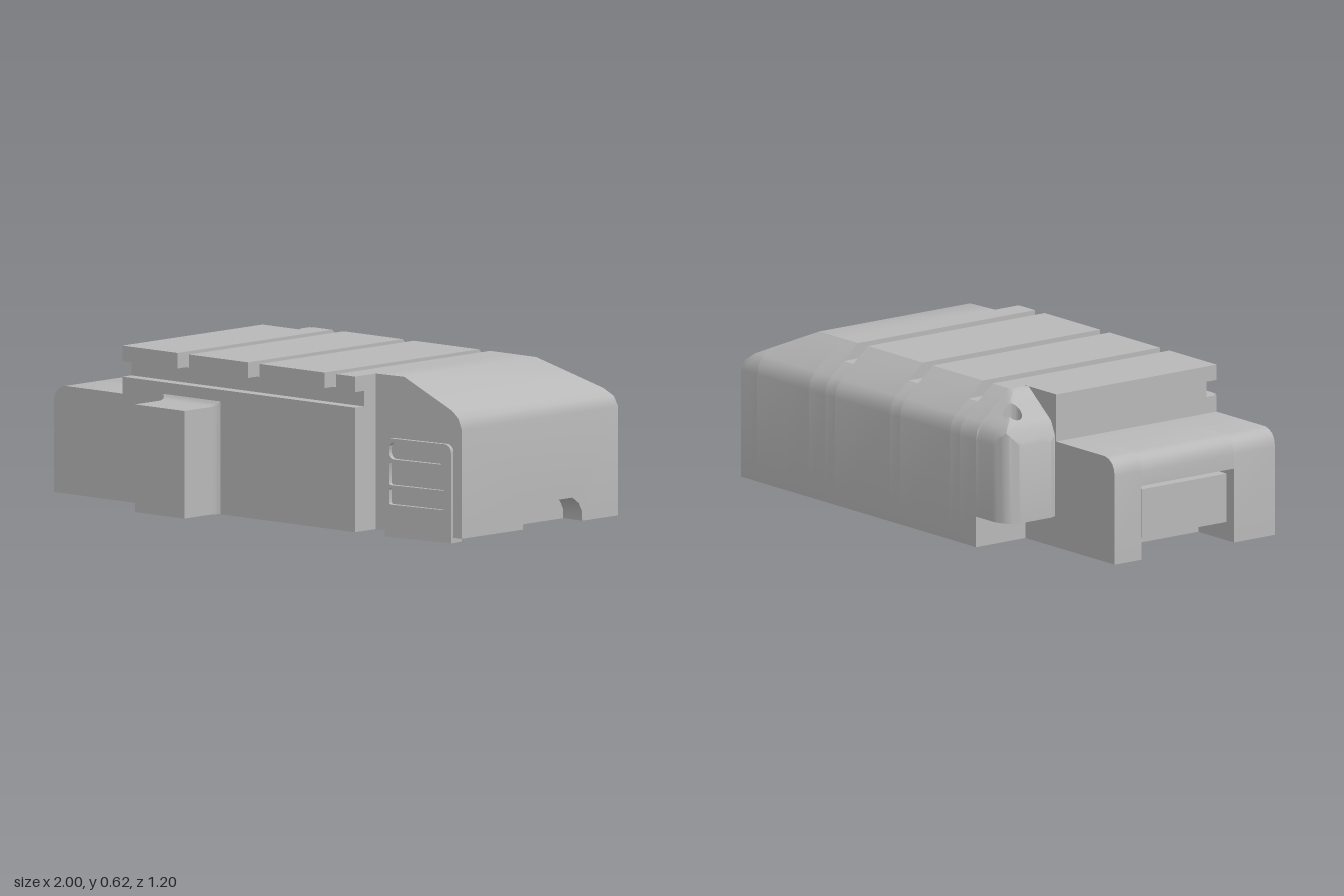
import * as THREE from 'three';
import { toCreasedNormals } from 'three/addons/utils/BufferGeometryUtils.js';

const grey = new THREE.MeshStandardMaterial({ color: 0xb8b8b8 });
grey.name = 'plain grey';

const BASE = 0.02, TOP = 0.62;
// Sloped shoulder at the back: [z, y], and the same shoulder at the end: [x, y]
const SHOULDER = [[-0.44, 0.62], [-0.57, 0.51], [-0.592, 0.48], [-0.6, 0.44]];
const END = [[0.72, 0.62], [0.95, 0.51], [0.985, 0.48], [1, 0.44]];

// Linear interpolation along a list of [key, value] pairs, by column
function lookup(list, v, from, to) {
  for (let i = 0; i < list.length - 1; i++) {
    const a = list[i], b = list[i + 1];
    if ((v - a[from]) * (v - b[from]) <= 0) {
      return a[to] + (b[to] - a[to]) * (v - a[from]) / (b[from] - a[from]);
    }
  }
  return Math.abs(v - list[0][from]) < Math.abs(v - list.at(-1)[from]) ? list[0][to] : list.at(-1)[to];
}

function mesh(name, geometry, x = 0, y = 0, z = 0) {
  const m = new THREE.Mesh(geometry, grey);
  m.name = name;
  m.position.set(x, y, z);
  return m;
}

const box = (name, w, h, d, x, y, z) => mesh(name, new THREE.BoxGeometry(w, h, d), x, y, z);

function toGeometry(tris, crease = 0.55) {
  const g = new THREE.BufferGeometry();
  g.setAttribute('position', new THREE.Float32BufferAttribute(tris, 3));
  g.computeVertexNormals();
  return toCreasedNormals(g, crease);
}

// Joins successive closed rings of points
function skin(rings) {
  const out = [];
  for (let k = 0; k < rings.length - 1; k++) {
    const A = rings[k], B = rings[k + 1];
    A.forEach((a, i) => {
      const j = (i + 1) % A.length;
      out.push(...a, ...B[i], ...B[j], ...a, ...B[j], ...A[j]);
    });
  }
  return out;
}

// Solid from [z, y] sections at stations along x, with both ends closed
function loft(stations) {
  const tris = skin(stations.map(({ x, ring }) => ring.map(([z, y]) => [x, y, z])));
  [[stations[0], -1], [stations.at(-1), 1]].forEach(([{ x, ring }, side]) => {
    const faces = THREE.ShapeUtils.triangulateShape(ring.map(([z, y]) => new THREE.Vector2(z, y)), []);
    for (const f of faces) {
      const [a, b, c] = f.map((i) => ring[i]);
      const nx = (b[1] - a[1]) * (c[0] - a[0]) - (b[0] - a[0]) * (c[1] - a[1]);
      for (const p of nx * side > 0 ? [a, b, c] : [a, c, b]) tris.push(x, p[1], p[0]);
    }
  });
  return toGeometry(tris);
}

// Back half of a section, cut off at the given height
function backEdge(top) {
  return [...SHOULDER.map(([z, y]) => (y > top ? [lookup(SHOULDER, top, 1, 0), top] : [z, y])), [-0.6, BASE]];
}

// Front half of a section, with the long ledge under the roof slabs
function frontEdge(top) {
  const edge = [[0.42, BASE], [0.42, 0.5], [0.37, 0.5], [0.37, 0.56]];
  return top > 0.56 ? [...edge, [0.42, 0.56], [0.42, top]] : edge;
}

function roundedRect(shape, x0, y0, x1, y1, r, rb = r) {
  shape.moveTo(x0 + rb, y0);
  shape.lineTo(x1 - rb, y0);
  if (rb) shape.absarc(x1 - rb, y0 + rb, rb, -Math.PI / 2, 0);
  shape.lineTo(x1, y1 - r);
  shape.absarc(x1 - r, y1 - r, r, 0, Math.PI / 2);
  shape.lineTo(x0 + r, y1);
  shape.absarc(x0 + r, y1 - r, r, Math.PI / 2, Math.PI);
  shape.lineTo(x0, y0 + rb);
  if (rb) shape.absarc(x0 + rb, y0 + rb, rb, Math.PI, Math.PI * 1.5);
  return shape;
}

// Main hull: raised slabs divided by three cross grooves
function mainHull() {
  const g = new THREE.Group();
  g.name = 'mainHull';
  const cuts = [-0.45, -0.35, -0.29, 0.02, 0.08, 0.42, 0.48, 0.58];
  for (let i = 0; i < cuts.length - 1; i++) {
    const top = i % 2 ? 0.56 : TOP;
    const ring = [...frontEdge(top), ...backEdge(top)];
    g.add(mesh(i % 2 ? 'roofGroove' : 'roofSlab', loft([{ x: cuts[i], ring }, { x: cuts[i + 1], ring }])));
  }
  const ring = [...frontEdge(TOP), [-0.36, TOP], [-0.36, BASE]];
  g.add(mesh('innerEndSlab', loft([{ x: -0.64, ring }, { x: -0.45, ring }])));
  return g;
}

// Sloping end with an arched cut-out at its foot
function slopedEnd() {
  const g = new THREE.Group();
  g.name = 'slopedEnd';
  const arch = [[-0.4, BASE], [-0.397, 0.06], [-0.38, 0.09], [-0.345, 0.115],
    [-0.125, 0.115], [-0.09, 0.09], [-0.073, 0.06], [-0.07, BASE]];
  const station = (x, extra) => {
    const top = lookup(END, x, 0, 1);
    const zf = 0.305 - 0.035 * (x - 0.58) / 0.42;
    return { x, ring: [[zf, BASE], [zf, top], ...backEdge(top), ...extra] };
  };
  g.add(mesh('endHull', loft([0.58, 0.72, 0.9].map((x) => station(x, [])))));
  g.add(mesh('archedEnd', loft([0.9, 0.95, 0.985, 1].map((x) => station(x, arch)))));
  return g;
}

// Rounded, sloping back corner, raised underneath and pierced by a hole
function piercedCorner() {
  const cx = -0.55, cz = -0.5, n = 48, low = 0.14;
  const planes = [[1, 0, -0.45], [-1, 0, 0.64], [0, 1, -0.36], [0, -1, 0.6],
    [-0.92, -0.39, 0.795], [-0.6, -0.8, 0.832], [-0.3, -0.954, 0.742]];
  const height = (x, z) => Math.min(
    lookup(SHOULDER, z, 0, 1), lookup([[-0.47, 0.62], [-0.61, 0.51], [-0.64, 0.44]], x, 0, 1));
  const ring = (t, y) => Array.from({ length: n }, (_, i) => {
    const a = (i / n) * Math.PI * 2, c = Math.cos(a), s = Math.sin(a);
    let far = 1;
    for (const [px, pz, d] of planes) {
      const dot = px * c + pz * s;
      if (dot > 1e-6) far = Math.min(far, (d - px * cx - pz * cz) / dot);
    }
    const r = 0.035 + t * (far - 0.035), x = cx + r * c, z = cz + r * s;
    return [x, y ?? height(x, z), z];
  });
  return mesh('piercedCorner', toGeometry(
    skin([ring(1, low), ring(1), ring(0.85), ring(0.6), ring(0.3), ring(0), ring(0, low), ring(1, low)])));
}

// Low end block with a rounded shoulder and a recessed hatch
function lowBlock() {
  const g = new THREE.Group();
  g.name = 'lowBlock';
  const upper = [[-0.64, 0.435], [-0.94, 0.435], [-0.965, 0.428], [-0.985, 0.413], [-0.996, 0.392], [-1, 0.365]];
  const full = [[-0.64, BASE], ...upper, [-1, BASE]];
  const hollow = [[-0.64, BASE], ...upper, [-1, 0.31], [-0.78, 0.31], [-0.78, BASE]];
  [[-0.36, -0.23, full], [-0.23, 0.22, hollow], [0.22, 0.42, full]].forEach(([z0, z1, outline]) => {
    const shape = new THREE.Shape(outline.map((p) => new THREE.Vector2(...p)));
    const geo = new THREE.ExtrudeGeometry(shape, { depth: z1 - z0, bevelEnabled: false });
    g.add(mesh('blockSection', toCreasedNormals(geo, 0.55), 0, 0, z0));
  });
  g.add(box('hatch', 0.11, 0.19, 0.41, -0.925, 0.195, -0.005));
  return g;
}

// Box on the front wall with a flared root
function frontBox() {
  const g = new THREE.Group();
  g.name = 'frontBox';
  g.add(box('frontBoxBody', 0.26, 0.415, 0.18, -0.275, 0.2275, 0.51));
  const flare = [[0.42, 0.02], [0.427, 0.011], [0.437, 0.004], [0.455, 0]].map(([z, e]) => [
    [-0.405 - e, 0.435 + e, z], [-0.145 + e, 0.435 + e, z], [-0.145 + e, BASE, z], [-0.405 - e, BASE, z]]);
  g.add(mesh('flaredRoot', toGeometry(skin(flare))));
  return g;
}

// Angled panel with three rounded slots
function ventPanel() {
  const g = new THREE.Group();
  g.name = 'ventPanel';
  const plate = (name, slots, z, depth) => {
    const s = roundedRect(new THREE.Shape(), -0.16, 0, 0.16, 0.38, 0.03, 0);
    for (const [y0, y1, r] of slots) s.holes.push(roundedRect(new THREE.Path(), -0.138, y0, 0.13, y1, r));
    const geo = new THREE.ExtrudeGeometry(s, { depth, bevelEnabled: false, curveSegments: 6 });
    g.add(mesh(name, toCreasedNormals(geo, 0.55), 0, 0, z));
  };
  plate('slottedFace', [[0.125, 0.187, 0.008], [0.2, 0.29, 0.008], [0.3, 0.365, 0.025]], -0.02, 0.02);
  plate('ventBacking', [], -0.07, 0.05);
  g.position.set(0.8, 0, 0.305);
  g.rotation.y = 0.1;
  return g;
}

export function createModel() {
  const model = new THREE.Group();
  model.name = 'lowBuilding';
  model.add(mainHull(), slopedEnd(), piercedCorner(), lowBlock(), frontBox(), ventPanel());
  return model;
}
